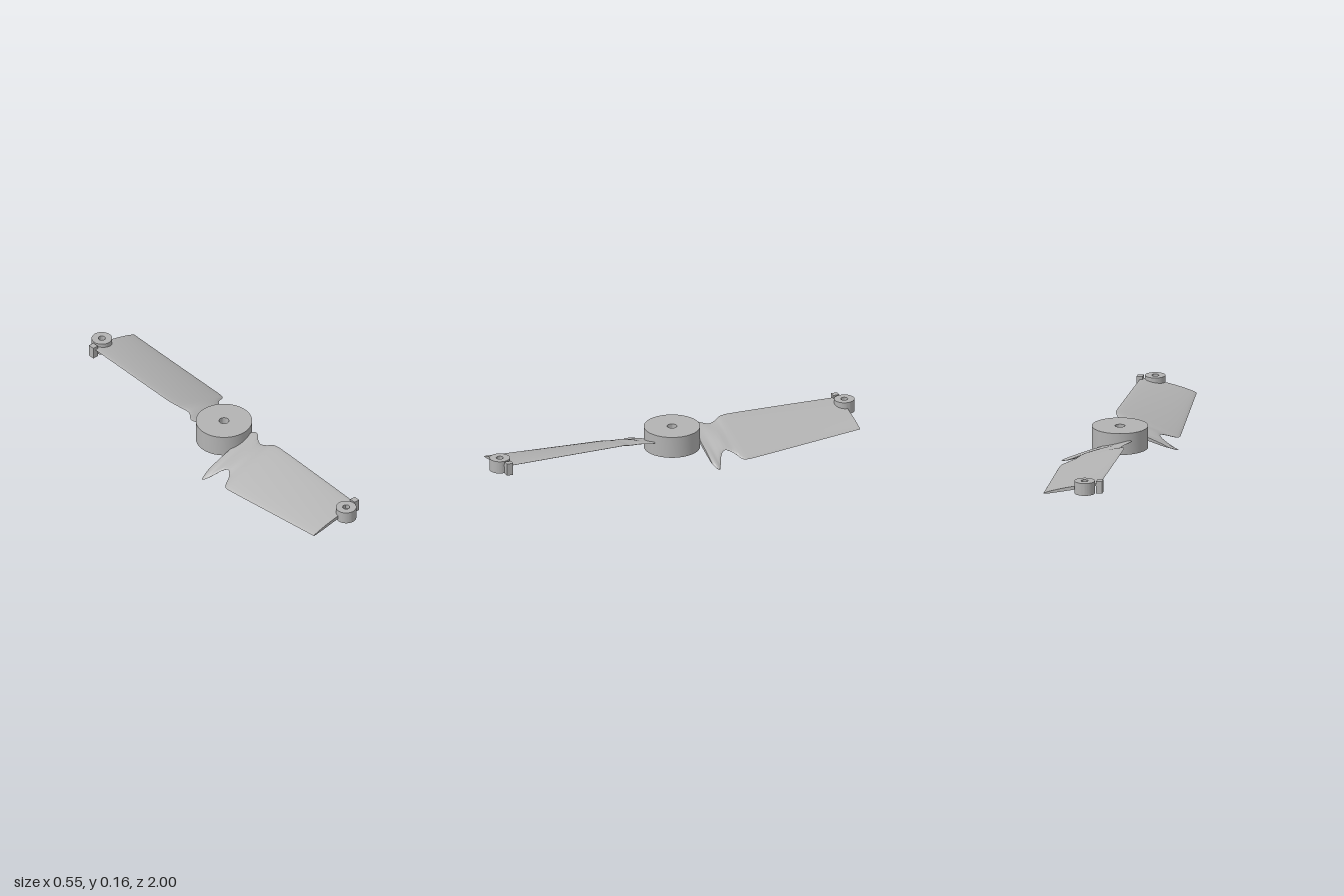
import * as THREE from 'three';
import { toCreasedNormals } from 'three/addons/utils/BufferGeometryUtils.js';

const grey = new THREE.MeshStandardMaterial({ color: 0xb3b3b3 });
grey.name = 'plain grey';

// Blade stations: z, trailing x, trailing y, leading x, leading y
const STATIONS = [
  [0.127, -0.225, 0.026, 0.082, 0.128],
  [0.145, -0.274, 0.01, 0.09, 0.13],
  [0.165, -0.245, 0.018, 0.084, 0.131],
  [0.195, -0.185, 0.048, 0.061, 0.126],
  [0.225, -0.165, 0.062, 0.05, 0.122],
  [0.26, -0.192, 0.05, 0.06, 0.128],
  [0.285, -0.236, 0.034, 0.073, 0.138],
  [0.31, -0.249, 0.031, 0.08, 0.142],
  [0.37, -0.248, 0.034, 0.083, 0.143],
  [0.66, -0.231, 0.054, 0.079, 0.14],
  [0.945, -0.215, 0.074, 0.074, 0.136],
];

// Twisted blade skinned over thin cambered cross-sections
function bladeGeometry(rows = 70, sides = 28) {
  const edge = (ix) => new THREE.CatmullRomCurve3(
    STATIONS.map((s) => new THREE.Vector3(s[ix], s[ix + 1], s[0])), false, 'catmullrom', 0.5);
  const trailing = edge(1), leading = edge(3);
  const pos = [], index = [];
  for (let i = 0; i <= rows; i++) {
    const a = trailing.getPoint(i / rows), b = leading.getPoint(i / rows);
    for (let j = 0; j < sides; j++) {
      const ang = (j / sides) * Math.PI * 2, c = Math.cos(ang);
      const p = a.clone().lerp(b, (c + 1) / 2);
      pos.push(p.x, p.y + 0.009 * Math.sin(ang) + 0.004 * (1 - c * c), p.z);
    }
  }
  for (let i = 0; i < rows; i++) {
    for (let j = 0; j < sides; j++) {
      const k = (j + 1) % sides, r = i * sides, n = r + sides;
      index.push(r + j, r + k, n + j, r + k, n + k, n + j);
    }
  }
  // Flat end caps
  const last = rows * sides;
  for (let j = 1; j < sides - 1; j++) {
    index.push(0, j + 1, j, last, last + j, last + j + 1);
  }
  const g = new THREE.BufferGeometry();
  g.setAttribute('position', new THREE.Float32BufferAttribute(pos, 3));
  g.setIndex(index);
  return toCreasedNormals(g, 0.9);
}

// Upright cylinder with a through hole
function ringGeometry(inner, outer, y0, y1) {
  const profile = [[inner, y0], [outer, y0], [outer, y1], [inner, y1], [inner, y0]]
    .map(([x, y]) => new THREE.Vector2(x, y));
  return toCreasedNormals(new THREE.LatheGeometry(profile, 64), 0.6);
}

function part(name, geometry, parent, x = 0, y = 0, z = 0) {
  const mesh = new THREE.Mesh(geometry, grey);
  mesh.name = name;
  mesh.position.set(x, y, z);
  parent.add(mesh);
}

export function createModel() {
  const model = new THREE.Group();
  model.name = 'propeller';
  part('hub', ringGeometry(0.025, 0.143, 0.054, 0.167), model);

  // Two identical arms, half a turn apart
  const blade = bladeGeometry();
  const tipRing = ringGeometry(0.018, 0.052, 0.09, 0.155);
  const tipBlock = new THREE.BoxGeometry(0.03, 0.064, 0.034);
  for (let i = 0; i < 2; i++) {
    const arm = new THREE.Group();
    arm.name = i ? 'backArm' : 'frontArm';
    arm.rotation.y = i * Math.PI;
    part('blade', blade, arm);
    part('tipRing', tipRing, arm, 0, 0, 0.948);
    part('tipBlock', tipBlock, arm, 0.074, 0.1225, 0.928);
    model.add(arm);
  }
  return model;
}
